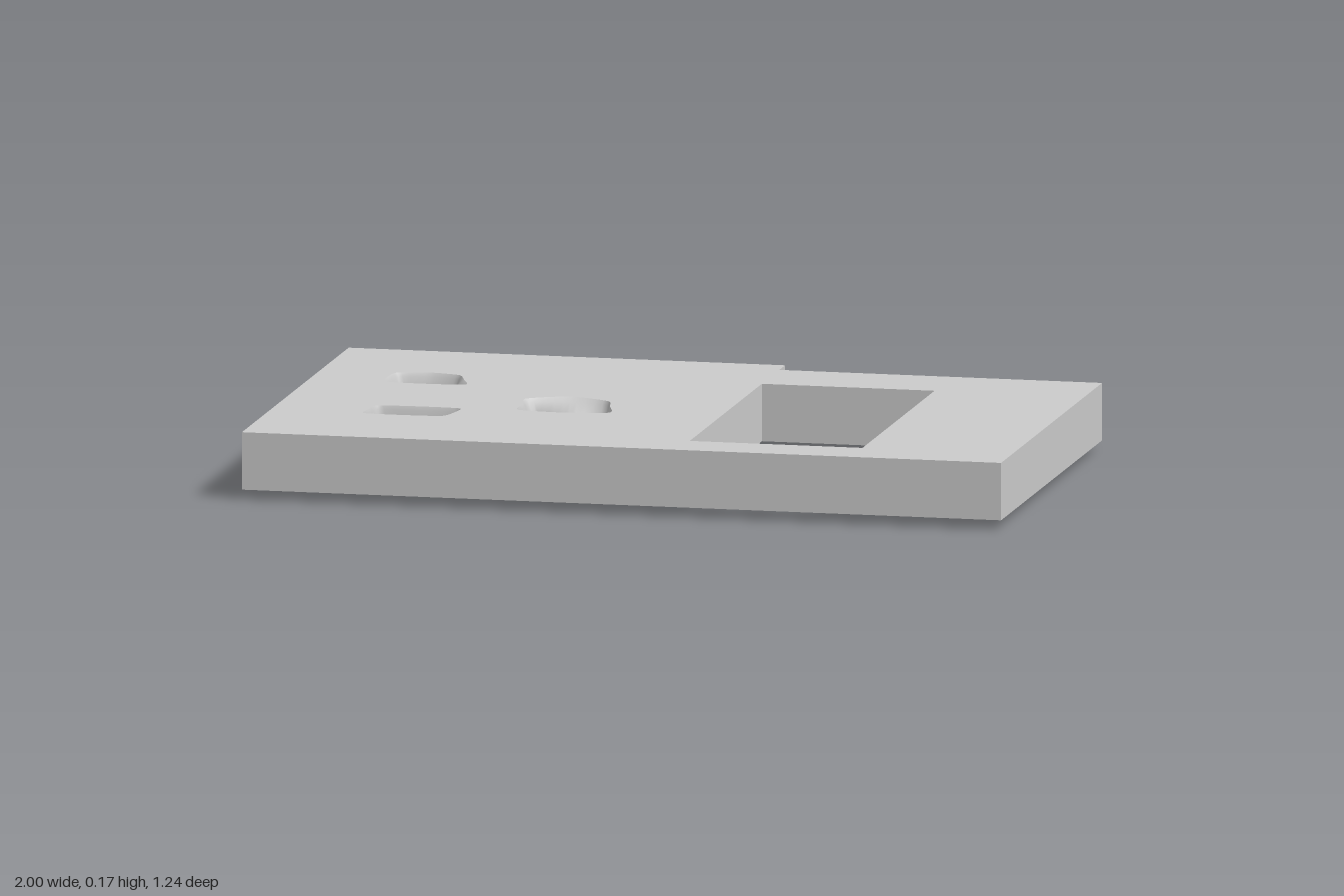
import * as THREE from 'three';

const BOTTOM = 0.025, TOP = 0.175;
const material = new THREE.MeshStandardMaterial({ color: 0xcccccc });

// Plan outlines as [x, z], all running back-left, back-right, front-right, front-left
const slabOutline = [[-1, -0.622], [0.15, -0.622], [0.15, -0.555], [1, -0.555], [1, 0.622], [-1, 0.622]];
const windowOutline = [[0.15, -0.35], [0.605, -0.35], [0.605, 0.49], [0.15, 0.49]];

// Worn holes: narrow waist, wider rim on top, and the height of the lip underneath
const wornHoles = [
  {
    name: 'backWornHole',
    waist: [[-0.78, -0.285], [-0.715, -0.29], [-0.65, -0.285], [-0.66, -0.235], [-0.64, -0.17], [-0.715, -0.17], [-0.78, -0.19], [-0.785, -0.24]],
    rim: [[-0.8, -0.3], [-0.715, -0.32], [-0.635, -0.3], [-0.61, -0.24], [-0.59, -0.17], [-0.715, -0.16], [-0.8, -0.17], [-0.81, -0.24]],
    lip: [0.025, 0.025, 0.025, 0.025, 0.025, 0.025, 0.025, 0.022], spread: 1.08,
  },
  {
    name: 'frontWornHole',
    waist: [[-0.73, 0.18], [-0.635, 0.175], [-0.54, 0.175], [-0.545, 0.21], [-0.59, 0.26], [-0.66, 0.275], [-0.745, 0.27], [-0.74, 0.225]],
    rim: [[-0.745, 0.17], [-0.635, 0.16], [-0.53, 0.165], [-0.53, 0.22], [-0.55, 0.28], [-0.65, 0.29], [-0.755, 0.285], [-0.755, 0.225]],
    lip: [0.025, 0.025, 0.025, 0.025, 0.025, 0.022, 0.022, 0.025], spread: 1.08,
  },
  {
    name: 'middleWornHole',
    waist: [[-0.36, 0], [-0.27, 0.04], [-0.19, -0.01], [-0.18, 0.05], [-0.17, 0.13], [-0.26, 0.12], [-0.37, 0.14], [-0.365, 0.065]],
    rim: [[-0.395, -0.01], [-0.29, -0.065], [-0.18, -0.02], [-0.16, 0.05], [-0.14, 0.14], [-0.26, 0.165], [-0.38, 0.15], [-0.385, 0.065]],
    lip: [0.014, 0, 0.014, 0.022, 0.024, 0.022, 0.022, 0.02], spread: 1.5,
  },
];

const ringAt = (outline, y) => outline.map(([x, z], i) => new THREE.Vector3(x, Array.isArray(y) ? y[i] : y, z));

// Softly rounds a closed ring
const smoothRing = (ring) => new THREE.CatmullRomCurve3(ring, true, 'catmullrom', 0.3).getPoints(40).slice(0, -1);

// Skins a stack of rings; faces look inwards when the rings go from bottom to top
function loft(rings, flat) {
  const n = rings[0].length, index = [];
  for (let r = 0; r < rings.length - 1; r++) {
    for (let i = 0; i < n; i++) {
      const a = r * n + i, b = r * n + (i + 1) % n;
      index.push(a, b, b + n, a, b + n, a + n);
    }
  }
  let geometry = new THREE.BufferGeometry().setFromPoints(rings.flat());
  geometry.setIndex(index);
  if (flat) geometry = geometry.toNonIndexed();
  geometry.computeVertexNormals();
  return geometry;
}

// Flat face with holes, looking up (side = 1) or down (side = -1)
function cap(outline, holes, y, side) {
  const plan = (ring) => ring.map((p) => new THREE.Vector2(p.x, -side * p.z));
  const shape = new THREE.Shape(plan(outline));
  shape.holes = holes.map((h) => new THREE.Path(plan(h)));
  return new THREE.ShapeGeometry(shape).rotateX(-side * Math.PI / 2).translate(0, y, 0);
}

// Scales an outline about its middle
function spreadOutline(outline, k) {
  const cx = outline.reduce((s, p) => s + p[0], 0) / outline.length;
  const cz = outline.reduce((s, p) => s + p[1], 0) / outline.length;
  return outline.map(([x, z]) => [cx + (x - cx) * k, cz + (z - cz) * k]);
}

const blend = (a, b, t) => a.map(([x, z], i) => [x + (b[i][0] - x) * t, z + (b[i][1] - z) * t]);

export function createModel() {
  const group = new THREE.Group();
  const add = (name, geometry) => {
    const mesh = new THREE.Mesh(geometry, material);
    mesh.name = name;
    group.add(mesh);
  };

  // Outer edge and rectangular window
  const outer = [ringAt(slabOutline, BOTTOM), ringAt(slabOutline, TOP)];
  const opening = [ringAt(windowOutline, BOTTOM), ringAt(windowOutline, TOP)];
  add('slabEdge', loft([outer[1], outer[0]], true));
  add('windowWalls', loft(opening, true));

  // Worn holes, from the collar underneath up to the rim
  const lower = [opening[0]], upper = [opening[1]];
  for (const { name, waist, rim, lip, spread } of wornHoles) {
    const rings = [
      ringAt(spreadOutline(rim, spread), BOTTOM),
      ringAt(blend(waist, rim, 0.35), lip),
      ringAt(waist, 0.07),
      ringAt(blend(waist, rim, 0.25), 0.13),
      ringAt(blend(waist, rim, 0.75), 0.165),
      ringAt(rim, TOP),
    ].map(smoothRing);
    add(name, loft(rings, false));
    lower.push(rings[0]);
    upper.push(rings[rings.length - 1]);
  }

  // Flat faces
  add('slabTop', cap(outer[1], upper, TOP, 1));
  add('slabUnderside', cap(outer[0], lower, BOTTOM, -1));
  return group;
}
